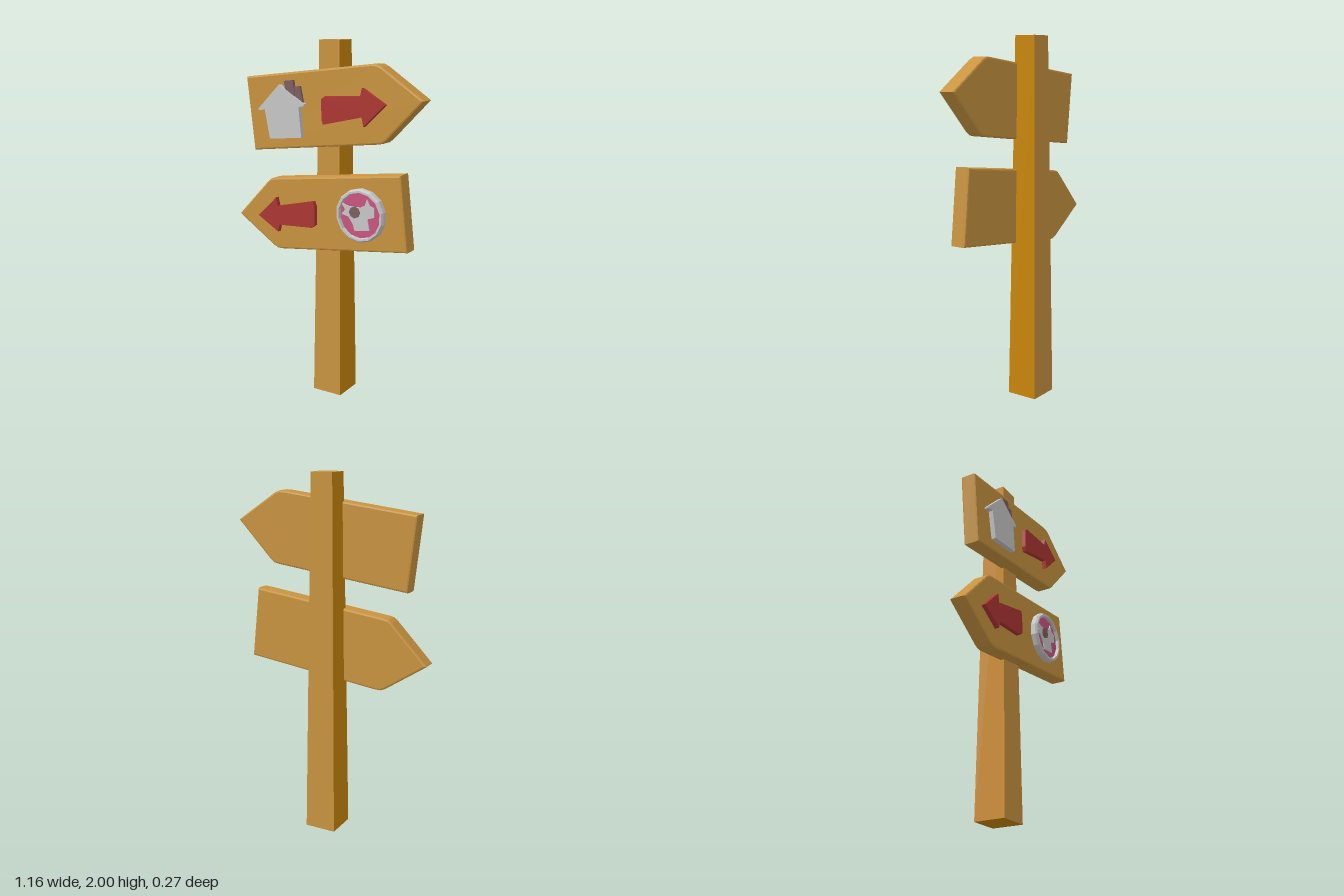
import * as THREE from 'three';

const paint = (name, color) => {
  const m = new THREE.MeshStandardMaterial({ color });
  m.name = name;
  return m;
};

export function createModel() {
  const wood = paint('wood', 0xc99440);
  const darkWood = paint('orange wood', 0xc8860b);
  const white = paint('pale grey', 0xc8c8c8);
  const red = paint('red', 0xad3632);
  const pink = paint('pink', 0xcc5580);
  const brown = paint('brown', 0x7d6060);

  const model = new THREE.Group();
  model.name = 'signpost';

  const add = (name, geometry, material, parent = model) => {
    const mesh = new THREE.Mesh(geometry, material);
    mesh.name = name;
    parent.add(mesh);
    return mesh;
  };

  // Flat outline extruded from z0 to z1, with an optional inset bevel
  const plate = (points, z0, z1, bevel = 0) => {
    const shape = new THREE.Shape(points.map(([x, y]) => new THREE.Vector2(x, y)));
    const g = new THREE.ExtrudeGeometry(shape, {
      depth: z1 - z0 - 2 * bevel,
      bevelEnabled: bevel > 0,
      bevelSize: bevel,
      bevelThickness: bevel,
      bevelOffset: -bevel,
      bevelSegments: 2,
    });
    return g.translate(0, 0, z0 + bevel);
  };

  // Tapered square post
  const postGeo = new THREE.BoxGeometry(1, 2, 1).translate(0, 1, 0);
  const p = postGeo.attributes.position;
  for (let i = 0; i < p.count; i++) {
    const top = p.getY(i) > 1;
    const width = top ? 0.125 : 0.179;
    p.setX(i, -0.0155 + p.getX(i) * width);
    p.setZ(i, (top ? -0.0475 : -0.045) + p.getZ(i) * width);
  }
  postGeo.computeVertexNormals();
  add('post', postGeo, [darkWood, darkWood, wood, darkWood, wood, wood]);

  // Two pointed boards: the lower one is the upper turned half round
  const MID = 1.3625;
  const boardPoints = [
    [-0.46, 1.39], [0.325, 1.482], [0.352, 1.488], [0.372, 1.503],
    [0.578, 1.716], [0.34, 1.875], [0.312, 1.887], [0.28, 1.887], [-0.506, 1.795],
  ];
  const arrowPoints = [
    [0.01, 1.566], [0.243, 1.619], [0.254, 1.571], [0.376, 1.688], [0.243, 1.767],
    [0.233, 1.725], [0.02, 1.715], [0, 1.7], [0, 1.593],
  ];
  const turned = (points, dx = 0, dy = 0) =>
    points.map(([x, y]) => [-x + dx, 2 * MID - y + dy]);

  add('upperBoard', plate(boardPoints, 0.002, 0.095, 0.01), wood);
  add('lowerBoard', plate(turned(boardPoints), 0.002, 0.095, 0.01), wood);
  add('upperArrow', plate(arrowPoints, 0.09, 0.12), red);
  add('lowerArrow', plate(turned(arrowPoints, -0.047, -0.015), 0.09, 0.12), red);

  // House with a two-part chimney
  const house = new THREE.Group();
  house.name = 'house';
  model.add(house);
  add('houseFront', plate([
    [-0.333, 1.466], [-0.127, 1.487], [-0.143, 1.65], [-0.111, 1.656],
    [-0.111, 1.666], [-0.27, 1.762], [-0.407, 1.628], [-0.405, 1.619], [-0.365, 1.624],
  ], 0.09, 0.122), white, house);
  add('chimney', plate([
    [-0.225, 1.68], [-0.165, 1.66], [-0.185, 1.79], [-0.243, 1.783],
  ], 0.09, 0.112), brown, house);
  add('chimneySide', plate([
    [-0.19, 1.66], [-0.122, 1.665], [-0.143, 1.76], [-0.182, 1.755],
  ], 0.09, 0.108), brown, house);

  // Round badge: faceted rim, recessed disc and an animal head
  const badge = new THREE.Group();
  badge.name = 'badge';
  badge.position.set(0.238, 1.102, 0);
  model.add(badge);
  const rimProfile = [
    [0.145, 0.09], [0.145, 0.122], [0.137, 0.133], [0.126, 0.133], [0.122, 0.112],
  ].map(([r, y]) => new THREE.Vector2(r, y));
  const rim = new THREE.LatheGeometry(rimProfile, 14).toNonIndexed();
  rim.computeVertexNormals();
  add('badgeRim', rim.rotateX(Math.PI / 2), white, badge);
  const disc = new THREE.CylinderGeometry(0.127, 0.127, 0.025, 14);
  add('badgeDisc', disc.rotateX(Math.PI / 2).translate(0, 0, 0.103), pink, badge);
  add('animalHead', plate([
    [-0.032, -0.085], [0.058, -0.074], [0.046, -0.012], [0.085, 0], [0.085, 0.05],
    [0.06, 0.06], [0.042, 0.094], [0.03, 0.06], [0, 0.045], [-0.065, 0.045],
    [-0.085, 0.05], [-0.115, 0.062], [-0.09, 0.025], [-0.112, -0.002],
    [-0.07, -0.012], [-0.042, -0.05],
  ], 0.114, 0.122), white, badge);
  const nose = new THREE.CylinderGeometry(0.032, 0.032, 0.012, 8);
  add('nose', nose.rotateX(Math.PI / 2).translate(-0.03, 0.016, 0.122), brown, badge);

  return model;
}
